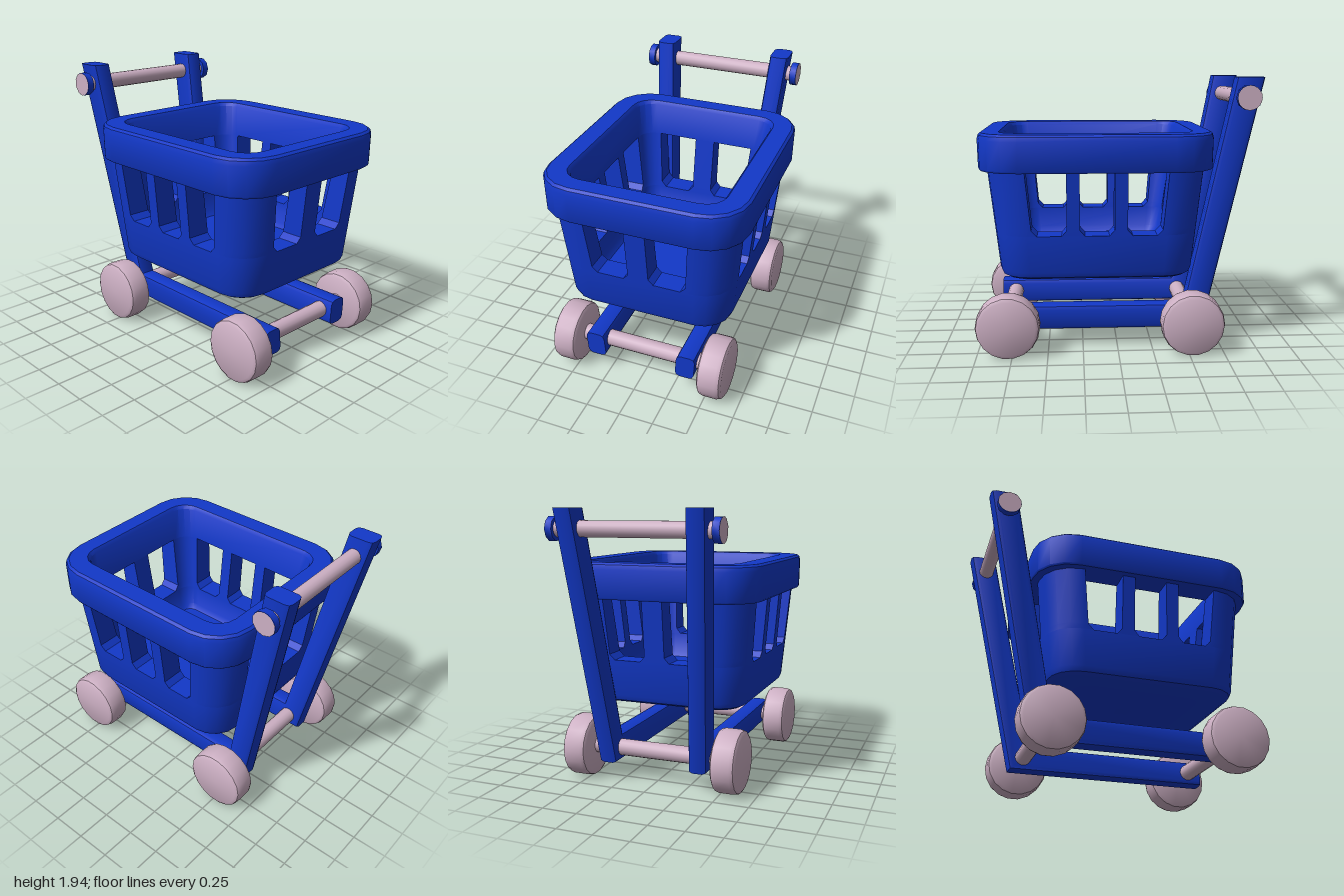
import * as THREE from 'three';
import { toCreasedNormals } from 'three/addons/utils/BufferGeometryUtils.js';

const blue = new THREE.MeshStandardMaterial({ color: 0x1238c8 });
const pink = new THREE.MeshStandardMaterial({ color: 0xcdb0c4 });
const V = (x, y, z) => new THREE.Vector3(x, y, z);
const BASKET_Z = 0.15;

// Skin between closed loops of equal point count
function loft(sections, crease = 0.6) {
  const pos = [];
  const tri = (a, b, c) => {
    if (a.distanceTo(b) > 1e-6 && b.distanceTo(c) > 1e-6 && c.distanceTo(a) > 1e-6)
      for (const p of [a, b, c]) pos.push(p.x, p.y, p.z);
  };
  for (let i = 0; i < sections.length - 1; i++) {
    const s = sections[i], t = sections[i + 1], n = s.length;
    for (let j = 0; j < n; j++) {
      const k = (j + 1) % n;
      tri(s[j], t[j], s[k]);
      tri(s[k], t[j], t[k]);
    }
  }
  const geo = new THREE.BufferGeometry();
  geo.setAttribute('position', new THREE.Float32BufferAttribute(pos, 3));
  return toCreasedNormals(geo, crease);
}

function add(parent, name, geo, mat, x = 0, y = 0, z = 0) {
  const mesh = new THREE.Mesh(geo, mat);
  mesh.name = name;
  mesh.position.set(x, y, z);
  parent.add(mesh);
  return mesh;
}

// Quarter arc of a rounded rectangle in the +x +z corner
function arc({ hx, hz, r }, y) {
  return Array.from({ length: 5 }, (_, i) => {
    const a = (i / 4) * Math.PI / 2;
    return V(hx - r + r * Math.cos(a), y, hz - r + r * Math.sin(a));
  });
}

// Full rounded rectangle
function ring(b, y) {
  const q = arc(b, y), flip = (sx, sz) => q.map(p => V(p.x * sx, y, p.z * sz));
  return [...q, ...flip(-1, 1).reverse(), ...flip(-1, -1), ...flip(1, -1).reverse()];
}
const inset = (b, d) => ({ hx: b.hx - d, hz: b.hz - d, r: Math.max(b.r - d, 0.02) });
const centre = y => Array(20).fill(V(0, y, 0));

// Tapering outer and inner basket walls by height
const outer = y => ({ hx: 0.605 + (y - 0.62) * 0.086, hz: 0.68 + (y - 0.62) * 0.107, r: 0.22 + (y - 0.62) * 0.04 });
const inner = y => ({ hx: 0.44 + (y - 0.7) * 0.118, hz: 0.52 + (y - 0.7) * 0.153, r: 0.1 + (y - 0.7) * 0.03 });

function ccw(pts) {
  const area = THREE.ShapeUtils.area(pts.map(p => new THREE.Vector2(p.x, p.z)));
  return area < 0 ? pts.reverse() : pts;
}

function makeBasket() {
  const basket = new THREE.Group();
  basket.name = 'basket';
  basket.position.z = BASKET_Z;
  const SILL = 0.88, TOP = 1.32;

  // Closed lower tub
  const base = outer(0.62);
  add(basket, 'basketTub', loft([
    centre(0.565), ring(inset(base, 0.05), 0.565), ring(inset(base, 0.016), 0.583), ring(base, 0.62),
    ring(outer(SILL), SILL), ring(inner(SILL), SILL), ring(inner(0.73), 0.73),
    ring(inset(inner(0.7), 0.025), 0.69), centre(0.69),
  ]), blue);

  // Overhanging rim
  const rim = { hx: 0.722, hz: 0.818, r: 0.29 };
  add(basket, 'basketRim', loft([
    ring(inner(TOP), TOP), ring(inset(rim, 0.012), TOP), ring(inset(rim, 0.004), TOP + 0.012),
    ring(rim, 1.53), ring(inset(rim, 0.008), 1.56), ring(inset(rim, 0.026), 1.575),
    ring(inset(inner(1.55), -0.02), 1.575), ring(inner(1.55), 1.55), ring(inner(TOP), TOP),
  ]), blue);

  // Window heights: foot flares out to chamfer the window corners
  const levels = [[SILL, 0.035], [0.92, 0], [TOP, 0]];

  // Corner posts between the windows
  for (const sx of [1, -1]) for (const sz of [1, -1]) {
    const sections = levels.map(([y, flare]) => {
      const t = (y - SILL) / (TOP - SILL);
      const wx = 0.34 + 0.033 * t - flare, wz = 0.445 + 0.04 * t - flare;
      const o = outer(y), n = inner(y);
      const pts = [V(o.hx, y, wz), ...arc(o, y), V(wx, y, o.hz),
        V(wx, y, n.hz), ...arc(n, y).reverse(), V(n.hx, y, wz)];
      return ccw(pts.map(p => V(p.x * sx, y, p.z * sz)));
    });
    add(basket, 'basketCornerPost', loft(sections), blue);
  }

  // Slats: one on front and back, two on each side
  function slat(onSide, sign, u, half) {
    const sections = levels.map(([y, flare]) => {
      const key = onSide ? 'hx' : 'hz', w = half + flare;
      const o = outer(y)[key] * sign, n = inner(y)[key] * sign;
      const pts = [[u + w, o], [u - w, o], [u - w, n], [u + w, n]];
      return ccw(pts.map(([a, d]) => (onSide ? V(d, y, a) : V(a, y, d))));
    });
    add(basket, 'basketSlat', loft(sections), blue);
  }
  for (const s of [1, -1]) {
    slat(false, s, 0, 0.075);
    for (const u of [-0.163, 0.163]) slat(true, s, u, 0.045);
  }
  return basket;
}

// Bottom rail mitred into the leaning handle pole, sheared outwards with height
function makeSideFrame(side) {
  const oct = [[0.035, 0], [0.06, 0.05], [0.07, 0.18], [0.07, 0.82], [0.06, 0.95], [0.035, 1]];
  const loop = [...oct, ...oct.map(([x, t]) => [-x, t]).reverse()];
  const section = (y0, z0, y1, z1, k = 1) => loop.map(([x, t]) => {
    const f = 0.5 + (t - 0.5) * k, y = y0 + (y1 - y0) * f;
    return V(side * (0.34 + (y - 0.14) * 0.0665) + x * k, y, z0 + (z1 - z0) * f);
  });
  const front = [0.14, 0.88, 0.325, 0.88], top = [1.945, -1, 1.945, -0.802];
  return loft([
    section(...front, 0), section(...front), section(0.14, -0.62, 0.325, -0.475),
    section(...top), section(...top, 0),
  ]);
}

// Cylinder lying along x
const rod = (r, len, n) => toCreasedNormals(new THREE.CylinderGeometry(r, r, len, n).rotateZ(-Math.PI / 2), 0.8);

export function createModel() {
  const model = new THREE.Group();
  model.name = 'toyShoppingCart';
  model.add(makeBasket());

  for (const s of [1, -1]) add(model, s > 0 ? 'leftFrame' : 'rightFrame', makeSideFrame(s), blue);

  // Wheels and axles
  const profile = [[0, -0.09], [0.195, -0.09], [0.217, -0.077], [0.225, -0.05],
    [0.225, 0.05], [0.217, 0.077], [0.195, 0.09], [0, 0.09]].map(p => new THREE.Vector2(...p));
  const wheel = toCreasedNormals(new THREE.LatheGeometry(profile, 18).toNonIndexed().rotateZ(-Math.PI / 2), 0.6);
  for (const [end, z] of [['front', 0.777], ['back', -0.522]]) {
    add(model, end + 'Axle', rod(0.06, 0.96, 14), pink, 0, 0.235, z);
    for (const s of [1, -1]) add(model, end + 'Wheel', wheel, pink, s * 0.555, 0.23, z);
  }

  // Push bar with end caps
  add(model, 'handleBar', rod(0.056, 1.13, 14), pink, 0, 1.808, -0.875);
  for (const s of [1, -1]) {
    add(model, 'handleCap', rod(0.085, 0.05, 10), blue, s * 0.58, 1.808, -0.875);
    const face = new THREE.CircleGeometry(0.085, 10).rotateZ(Math.PI / 2).rotateY(s * Math.PI / 2);
    add(model, 'handleCapFace', face, pink, s * 0.607, 1.808, -0.875);
  }
  return model;
}
